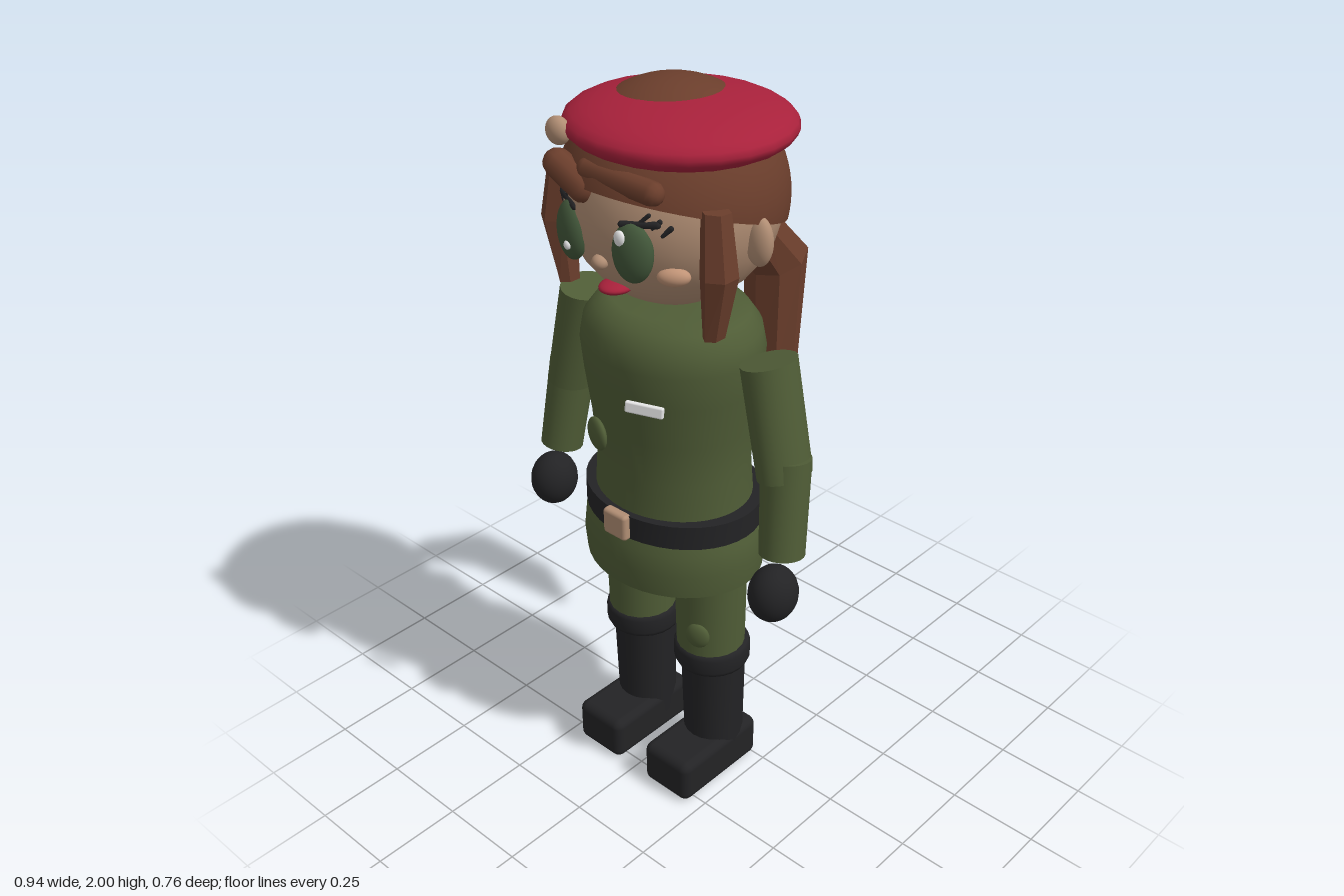
import * as THREE from 'three';
import { toCreasedNormals } from 'three/addons/utils/BufferGeometryUtils.js';
import { RoundedBoxGeometry } from 'three/addons/geometries/RoundedBoxGeometry.js';

const mat = (name, color, side = THREE.FrontSide) => {
  const m = new THREE.MeshStandardMaterial({ color, side });
  m.name = name;
  return m;
};

export function createModel() {
  const root = new THREE.Group();
  root.name = 'soldierFigure';
  const skin = mat('skin', 0xb18e74);
  const hair = mat('auburn hair', 0x6b3e2c, THREE.DoubleSide);
  const crimson = mat('crimson', 0xa8213b);
  const green = mat('uniform green', 0x4f5c36, THREE.DoubleSide);
  const iris = mat('eye green', 0x42573a);
  const black = mat('black', 0x232325);
  const white = mat('white', 0xe6e6e6);
  const blush = mat('blush', 0xc09376);

  const add = (name, geo, material, x = 0, y = 0, z = 0, rx = 0, ry = 0, rz = 0) => {
    const m = new THREE.Mesh(geo, material);
    m.name = name;
    m.position.set(x, y, z);
    m.rotation.set(rx, ry, rz);
    root.add(m);
    return m;
  };
  const blob = (name, material, p, r, rot = [0, 0, 0]) => {
    const m = add(name, new THREE.SphereGeometry(1, 24, 16), material, ...p, ...rot);
    m.scale.set(...r);
    return m;
  };
  // Cylinder running from point a (radius ra) to point b (radius rb)
  const limb = (name, material, a, b, ra, rb, depth = 1) => {
    const A = new THREE.Vector3(...a), B = new THREE.Vector3(...b);
    const dir = A.clone().sub(B);
    const geo = toCreasedNormals(new THREE.CylinderGeometry(ra, rb, dir.length(), 20), 0.8);
    geo.scale(1, 1, depth);
    const m = add(name, geo, material, ...A.add(B).multiplyScalar(0.5).toArray());
    m.quaternion.setFromUnitVectors(new THREE.Vector3(0, 1, 0), dir.normalize());
  };
  // Faceted strand; each ring is [x, halfWidth, frontZ, frontY, backZ, backY]
  const strand = (name, rings, sides) => {
    const n = rings.length - 1;
    const geo = new THREE.CylinderGeometry(1, 1, 1, sides, n);
    const p = geo.attributes.position;
    for (let i = 0; i < p.count; i++) {
      const [x, w, fz, fy, bz, by] = rings[Math.round((0.5 - p.getY(i)) * n)];
      const c = p.getZ(i);
      p.setXYZ(i, x + w * p.getX(i), (fy + by + c * (fy - by)) / 2, (fz + bz + c * (fz - bz)) / 2);
    }
    const flat = geo.toNonIndexed();
    flat.computeVertexNormals();
    add(name, flat, hair);
  };
  const lathe = (name, pts, material, depth) => {
    const geo = new THREE.LatheGeometry(pts.map(([r, y]) => new THREE.Vector2(r, y)), 40);
    geo.scale(1, 1, depth);
    add(name, geo, material, 0, 0, 0.1);
  };

  // Torso, skirt and belt
  lathe('torso', [[0.225, 0.86], [0.215, 1.0], [0.225, 1.12], [0.242, 1.24], [0.251, 1.33],
    [0.24, 1.385], [0.21, 1.425], [0.165, 1.446], [0.001, 1.45]], green, 0.87);
  lathe('skirt', [[0.256, 0.685], [0.262, 0.75], [0.255, 0.81], [0.235, 0.86]], green, 0.85);
  const belt = toCreasedNormals(new THREE.CylinderGeometry(0.256, 0.256, 0.068, 40), 0.8);
  belt.scale(1, 1, 0.83);
  add('belt', belt, black, 0, 0.87, 0.1);
  add('buckle', new RoundedBoxGeometry(0.08, 0.075, 0.03, 2, 0.01), skin, 0, 0.87, 0.315);
  add('namePlate', new RoundedBoxGeometry(0.1, 0.03, 0.014, 2, 0.005), white, 0.115, 1.255, 0.322, -0.1, 0.4, 0);
  blob('frontPatch', green, [-0.08, 1.1, 0.298], [0.045, 0.045, 0.016], [0, -0.3, 0]);
  blob('backPatchUpper', green, [-0.1, 1.235, -0.1], [0.04, 0.04, 0.016], [0, 0.4, 0]);
  blob('backPatchLower', green, [0.06, 1.055, -0.095], [0.042, 0.045, 0.016], [0, -0.25, 0]);
  blob('kneePatch', green, [0.165, 0.515, 0.188], [0.034, 0.038, 0.016], [0, 0.35, 0]);

  // Head, nose and mouth
  blob('head', skin, [0, 1.715, 0.09], [0.268, 0.272, 0.268]);
  blob('nose', skin, [0, 1.615, 0.342], [0.021, 0.019, 0.02]);
  blob('mouth', crimson, [0, 1.537, 0.29], [0.04, 0.016, 0.048]);

  // Hair cap, tipped back
  add('hairCap', new THREE.SphereGeometry(0.281, 40, 20, 0, Math.PI * 2, 0, Math.PI * 0.51), hair, 0, 1.718, 0.09, -0.3);
  add('fringeRight', new THREE.CapsuleGeometry(0.036, 0.09, 4, 10), hair, -0.092, 1.803, 0.338, 0, 0, 1.13);
  add('fringeLeft', new THREE.CapsuleGeometry(0.029, 0.2, 4, 10), hair, 0.055, 1.823, 0.323, 0, 0, 1.53);

  // Ponytail and tie
  blob('hairTie', black, [0, 1.57, -0.165], [0.045, 0.052, 0.045]);
  strand('ponytail', [
    [0, 0.055, -0.155, 1.51, -0.235, 1.605],
    [0, 0.087, -0.22, 1.39, -0.385, 1.45],
    [0, 0.08, -0.225, 1.12, -0.355, 1.1],
    [0, 0.028, -0.222, 0.905, -0.27, 0.925],
  ], 8);

  // Beret and badge
  blob('beret', crimson, [0.037, 1.905, 0.105], [0.286, 0.073, 0.27]);
  blob('beretBadge', skin, [-0.13, 1.9, 0.335], [0.034, 0.034, 0.025]);

  for (const s of [-1, 1]) {
    const side = s > 0 ? 'Left' : 'Right';
    // Face
    blob('eye' + side, iris, [s * 0.1, 1.665, 0.333], [0.052, 0.075, 0.032], [0, s * 0.3, 0]);
    blob('cheek' + side, blush, [s * 0.17, 1.605, 0.272], [0.04, 0.023, 0.022], [0, s * 0.65, 0]);
    blob('ear' + side, skin, [s * 0.27, 1.665, 0.09], [0.038, 0.063, 0.027]);
    add('lashLine' + side, new THREE.CapsuleGeometry(0.009, 0.085, 3, 8), black,
      s * 0.115, 1.735, 0.325, 0, s * 0.45, s * 1.65);
    for (let i = 0; i < 3; i++)
      add('lash' + side, new THREE.CapsuleGeometry(0.007, 0.026, 3, 6), black,
        s * (0.125 + i * 0.022), 1.75 - i * 0.014, 0.318 - i * 0.013, 0, s * 0.5, s * -0.8);
    strand('sideLock' + side, [
      [s * 0.25, 0.035, 0.255, 1.775, 0.18, 1.77],
      [s * 0.266, 0.045, 0.272, 1.62, 0.175, 1.62],
      [s * 0.245, 0.024, 0.25, 1.455, 0.185, 1.455],
    ], 6);

    // Arms and gloved hands
    limb('upperArm' + side, green, [s * 0.312, 1.37, 0.095], [s * 0.376, 1.08, 0.1], 0.065, 0.064, 1.22);
    limb('forearm' + side, green, [s * 0.378, 1.13, 0.098], [s * 0.402, 0.872, 0.134], 0.064, 0.059);
    blob('hand' + side, black, [s * 0.405, 0.768, 0.167], [0.063, 0.078, 0.069]);

    // Legs and boots
    limb('thigh' + side, green, [s * 0.131, 0.85, 0.1], [s * 0.131, 0.4, 0.098], 0.102, 0.094);
    limb('bootShaft' + side, black, [s * 0.131, 0.42, 0.088], [s * 0.131, 0.06, 0.085], 0.091, 0.083);
    const cuff = new THREE.LatheGeometry([[0.085, 0.375], [0.1, 0.377], [0.106, 0.39], [0.106, 0.43],
      [0.1, 0.443], [0.085, 0.445]].map(([r, y]) => new THREE.Vector2(r, y)), 24);
    add('bootCuff' + side, cuff, black, s * 0.132, 0, 0.093);
    add('bootFoot' + side, new RoundedBoxGeometry(0.165, 0.13, 0.305, 3, 0.025), black, s * 0.132, 0.065, 0.14);
  }
  blob('eyeGlintLeft', white, [0.085, 1.703, 0.359], [0.017, 0.02, 0.01]);
  blob('eyeGlintRight', white, [-0.085, 1.64, 0.364], [0.01, 0.012, 0.008]);

  return root;
}
